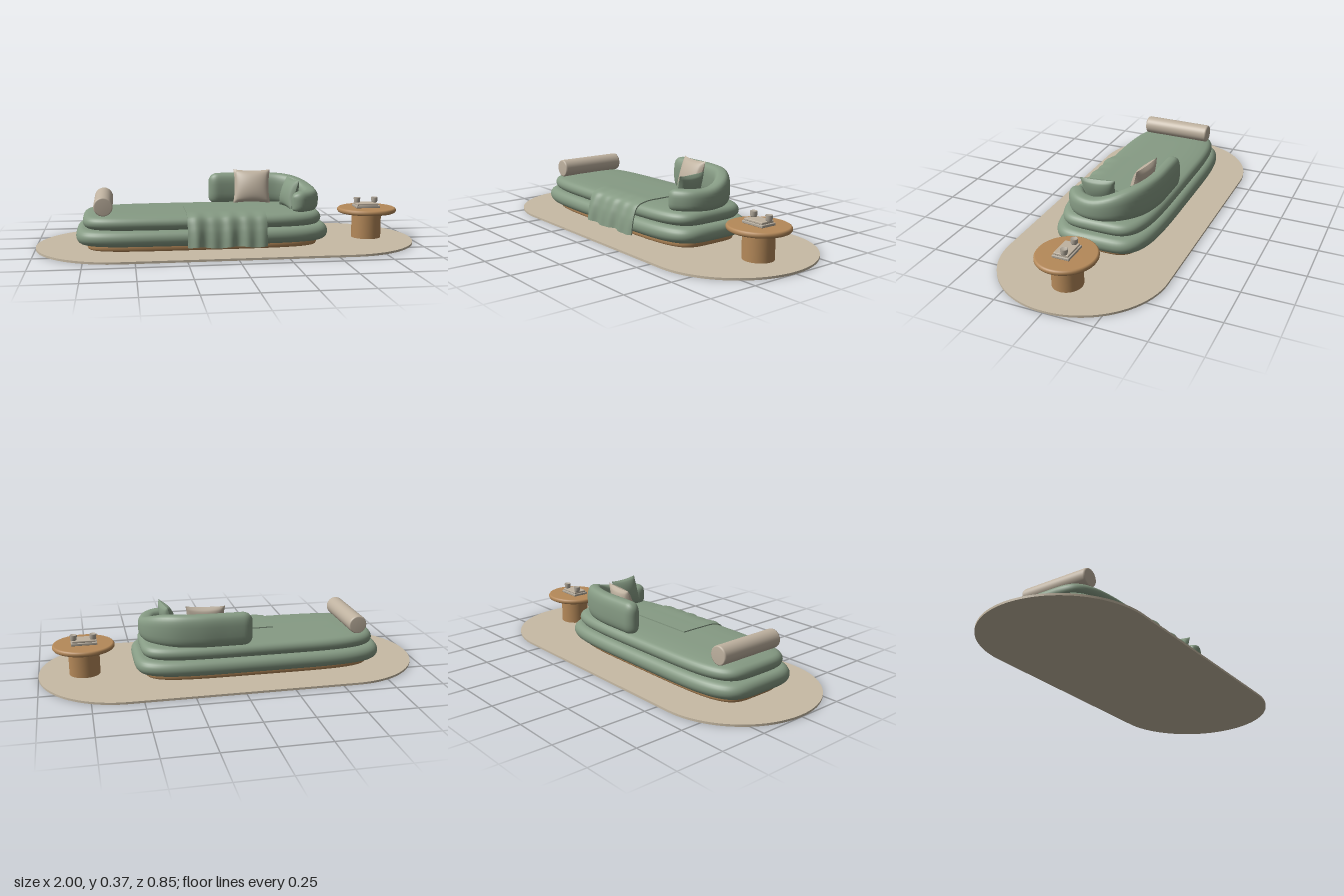
import * as THREE from 'three';
import { mergeGeometries } from 'three/addons/utils/BufferGeometryUtils.js';
import { RoundedBoxGeometry } from 'three/addons/geometries/RoundedBoxGeometry.js';

const material = (name, color) => {
  const m = new THREE.MeshStandardMaterial({ color });
  m.name = name;
  return m;
};

// Skin a list of closed rings; the first and last are closed to their centres
function loft(rings) {
  const n = rings[0].length, index = [];
  const centre = (r) => r.reduce((s, p) => s.add(p), new THREE.Vector3()).divideScalar(n);
  const all = [rings[0].map(() => centre(rings[0])), ...rings];
  all.push(rings[0].map(() => centre(rings[rings.length - 1])));
  for (let i = 0; i < all.length - 1; i++) {
    for (let j = 0; j < n; j++) {
      const a = i * n + j, b = i * n + (j + 1) % n;
      index.push(a, a + n, b, b, a + n, b + n);
    }
  }
  const g = new THREE.BufferGeometry().setFromPoints(all.flat());
  g.setIndex(index);
  g.computeVertexNormals();
  return g;
}

const power = (v, n) => Math.sign(v) * Math.abs(v) ** (2 / n);

// Soft slab: superellipse plan, profile of [inset, y] from bottom to top
function slab(cx, a, b, profile) {
  return loft(profile.map(([inset, y]) => Array.from({ length: 96 }, (_, j) => {
    const t = j / 96 * Math.PI * 2;
    return new THREE.Vector3(cx + (a - inset) * power(Math.cos(t), 4.6), y, (b - inset) * power(Math.sin(t), 4.6));
  })));
}

// Rounded roll profile between two heights
function roll(y0, y1, depth, crown) {
  const p = [[0.12, y0], [depth + 0.02, y0]];
  for (let i = 0; i <= 12; i++) {
    const t = (i / 12 - 0.5) * Math.PI;
    p.push([depth * (1 - Math.cos(t)), (y0 + y1) / 2 + (y1 - y0) / 2 * Math.sin(t)]);
  }
  p.push([depth + 0.02, y1 + crown * 0.5], [0.12, y1 + crown], [0.2, y1 + crown]);
  return p;
}

// Curved backrest, higher at the back and lower toward the front end
function backrest() {
  const path = new THREE.CatmullRomCurve3([
    [-0.078, -0.203], [0.05, -0.203], [0.2, -0.198], [0.32, -0.165],
    [0.41, -0.085], [0.438, 0.015], [0.41, 0.11], [0.32, 0.172],
  ].map(([x, z]) => new THREE.Vector3(x, 0, z)));
  const length = path.getLength(), rings = [], N = 56;
  for (let k = 0; k <= N; k++) {
    const t = 0.5 - 0.5 * Math.cos(Math.PI * k / N);
    const p = path.getPointAt(t), d = path.getTangentAt(t);
    const end = Math.min(1, Math.min(t, 1 - t) * length / 0.05);
    const s = Math.sqrt(Math.max(0.0004, 1 - (1 - end) ** 2));
    const top = 0.29 + 0.06 * THREE.MathUtils.smoothstep(-p.z, -0.05, 0.2) - 0.008 * (1 - s);
    const w = 0.042 * s, h = (top - 0.18) / 2 * (0.55 + 0.45 * s), cy = (top + 0.18) / 2;
    rings.push(Array.from({ length: 32 }, (_, j) => {
      const a = j / 32 * Math.PI * 2, u = w * power(Math.cos(a), 2.8);
      return new THREE.Vector3(p.x - d.z * u, cy + h * power(Math.sin(a), 2.8), p.z + d.x * u);
    }));
  }
  return loft(rings);
}

// Square pillow with pinched edges and flared corners
function pillow(w, h, depth) {
  const half = new THREE.PlaneGeometry(2, 2, 20, 20), pos = half.attributes.position;
  for (let i = 0; i < pos.count; i++) {
    const x = pos.getX(i), y = pos.getY(i);
    const puff = Math.max(0, (1 - x * x) * (1 - y * y)) ** 0.5;
    pos.setXYZ(i, x * w / 2 * (1 - 0.08 * (1 - y * y)), y * h / 2 * (1 - 0.08 * (1 - x * x)), puff * depth / 2);
  }
  half.computeVertexNormals();
  return mergeGeometries([half, half.clone().rotateY(Math.PI)]);
}

// Blanket draped over the front edge, with folds that deepen toward the hem
function blanket() {
  const path = new THREE.CatmullRomCurve3([
    [-0.02, 0.199], [0.1, 0.199], [0.19, 0.196], [0.245, 0.178], [0.269, 0.13], [0.279, 0.09], [0.287, 0.036],
  ].map(([z, y]) => new THREE.Vector3(0, y, z)));
  const g = new THREE.BoxGeometry(1, 1, 1, 48, 40, 1), pos = g.attributes.position;
  for (let i = 0; i < pos.count; i++) {
    const u = pos.getX(i), v = THREE.MathUtils.clamp(0.5 - pos.getY(i), 0, 1);
    const p = path.getPointAt(v), d = path.getTangentAt(v);
    const hang = THREE.MathUtils.smoothstep(v, 0.4, 1);
    const fold = Math.sin(u * 30 + 0.6) * 0.6 + Math.sin(u * 17 + 2) * 0.4;
    const off = pos.getZ(i) * 0.006 + fold * 0.011 * hang;
    pos.setXYZ(i, -0.035 + u * 0.4, p.y + d.z * off + 0.004 * hang * Math.sin(u * 13), p.z - d.y * off);
  }
  g.computeVertexNormals();
  return g;
}

export function createModel() {
  const model = new THREE.Group();
  const green = material('sage fabric', 0x869b84);
  const beige = material('beige rug', 0xc8bba5);
  const linen = material('linen fabric', 0xbfb2a0);
  const wood = material('oak wood', 0xb58959);
  const stone = material('stone grey', 0xb3aa9c);
  const add = (name, geometry, mat, x = 0, y = 0, z = 0, parent = model) => {
    const mesh = new THREE.Mesh(geometry, mat);
    mesh.name = name;
    mesh.position.set(x, y, z);
    parent.add(mesh);
    return mesh;
  };

  // Stadium-shaped rug
  const outline = new THREE.Shape();
  outline.absarc(0.575, 0, 0.425, -Math.PI / 2, Math.PI / 2);
  outline.absarc(-0.575, 0, 0.425, Math.PI / 2, Math.PI * 1.5);
  add('rug', new THREE.ExtrudeGeometry(outline, { depth: 0.011, bevelEnabled: false, curveSegments: 48 })
    .rotateX(-Math.PI / 2), beige);

  // Daybed base and its two stacked cushions
  add('plinth', slab(-0.137, 0.6, 0.218, roll(0.011, 0.046, 0.006, 0)), wood);
  add('lowerCushion', slab(-0.138, 0.653, 0.271, roll(0.04, 0.12, 0.036, 0)), green);
  add('upperCushion', slab(-0.138, 0.618, 0.246, roll(0.118, 0.186, 0.034, 0.009)), green);
  add('backrest', backrest(), green);

  // Bolster with softened ends, lying across the foot
  const bolster = [[0, -0.188], [0.041, -0.188], [0.046, -0.185], [0.048, -0.178],
    [0.048, 0.178], [0.046, 0.185], [0.041, 0.188], [0, 0.188]].map(([r, y]) => new THREE.Vector2(r, y));
  add('bolster', new THREE.LatheGeometry(bolster, 40).rotateX(Math.PI / 2), linen, -0.65, 0.236, -0.003);

  // Loose pillows leaning on the backrest
  const back = add('linenPillow', pillow(0.2, 0.185, 0.075), linen, 0.148, 0.286, -0.113);
  back.rotation.set(-0.28, -0.14, 0, 'YXZ');
  const side = add('greenPillow', pillow(0.18, 0.16, 0.07), green, 0.322, 0.27, 0.047);
  side.rotation.set(-0.28, -Math.PI / 2 + 0.14, 0, 'YXZ');

  add('blanket', blanket(), green);

  // Side table
  const table = new THREE.Group();
  table.name = 'sideTable';
  table.position.set(0.764, 0, -0.002);
  model.add(table);
  const leg = add('tableLeg', new THREE.CylinderGeometry(0.077, 0.077, 0.14, 48), wood, 0, 0.081, 0, table);
  leg.scale.set(1.03, 1, 0.97);
  const edge = [[0, 0.148], [0.143, 0.148], [0.149, 0.151], [0.153, 0.157], [0.153, 0.166], [0.149, 0.172], [0.143, 0.175], [0, 0.175]];
  const top = add('tableTop', new THREE.LatheGeometry(edge.map(([r, y]) => new THREE.Vector2(r, y)), 56), wood, 0, 0, 0, table);
  top.scale.set(1.035, 1, 0.967);

  // Stacked books and two cups on the table
  add('lowerBook', new RoundedBoxGeometry(0.132, 0.013, 0.088, 2, 0.003), stone, -0.003, 0.1815, 0, table);
  add('upperBook', new RoundedBoxGeometry(0.118, 0.011, 0.076, 2, 0.003), linen, -0.003, 0.1935, 0, table);
  const cup = [[0, 0], [0.014, 0], [0.016, 0.004], [0.018, 0.026], [0.016, 0.028], [0.014, 0.024], [0, 0.022]];
  for (const x of [-0.05, 0.048]) {
    add('cup', new THREE.LatheGeometry(cup.map(([r, y]) => new THREE.Vector2(r, y)), 24), stone, x, 0.199, -0.014, table);
  }
  return model;
}
